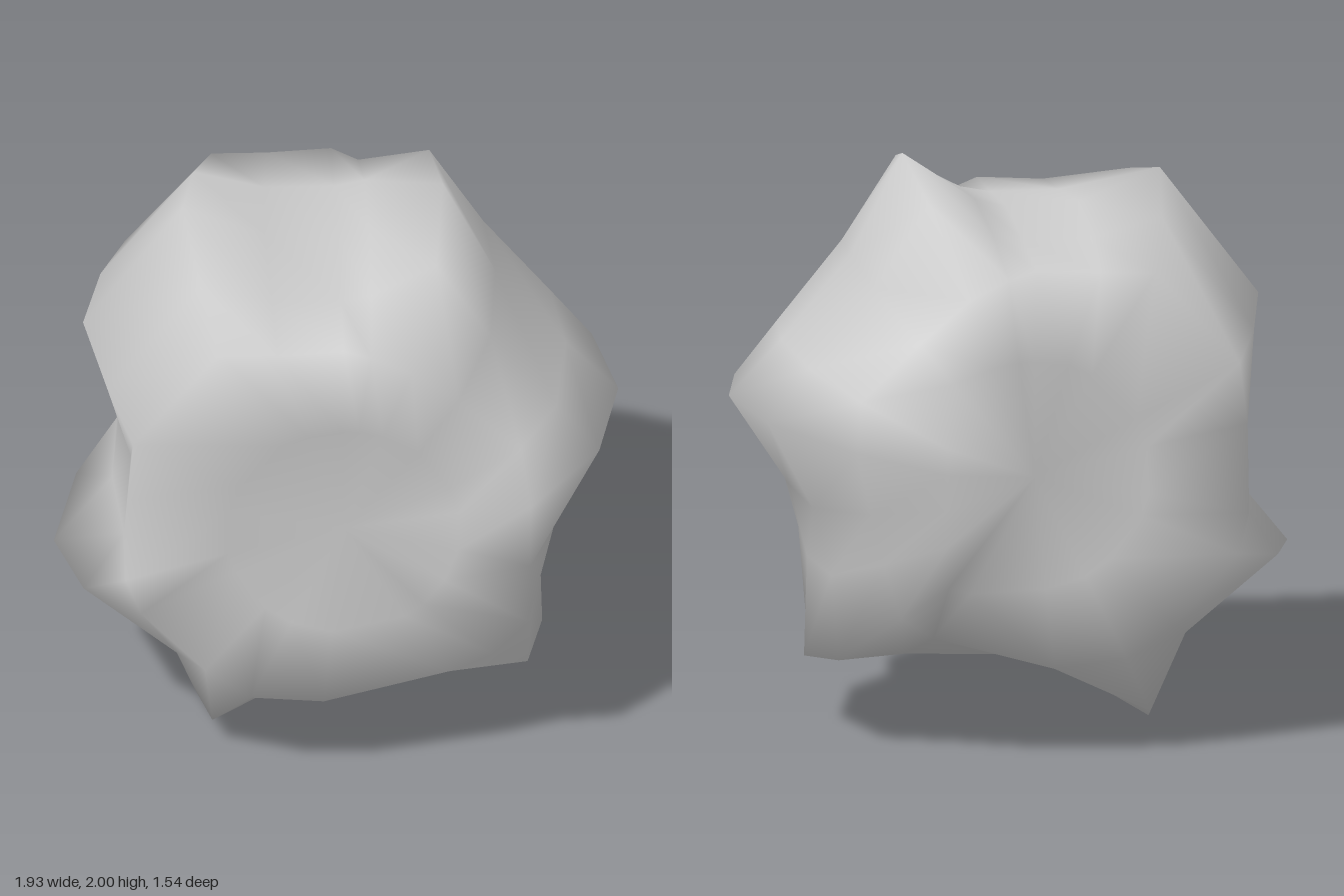
import * as THREE from 'three';

// One column per outline point, anticlockwise about the centre:
// x, y at the widest section, then distance and depth of the front and back rims
const COLUMNS = [
  [0.96, 0.17, 0.65, 0.68, 0.63, 0.69],
  [0.78, 0.36, 0.67, 0.57, 0.66, 0.64],
  [0.54, 0.65, 0.62, 0.57, 0.62, 0.65],
  [0.36, 1.0, 0.69, 0.67, 0.67, 0.68],
  [0.11, 0.83, 0.72, 0.67, 0.70, 0.67],
  [0, 0.8, 0.75, 0.68, 0.73, 0.69],
  [-0.25, 0.81, 0.77, 0.68, 0.75, 0.69],
  [-0.53, 0.92, 0.86, 0.69, 0.82, 0.70],
  [-0.87, 0.47, 0.82, 0.68, 0.80, 0.68],
  [-0.74, 0.17, 0.76, 0.68, 0.75, 0.68],
  [-0.77, -0.15, 0.76, 0.69, 0.75, 0.68],
  [-0.97, -0.4, 0.75, 0.68, 0.76, 0.67],
  [-0.6, -0.67, 0.71, 0.66, 0.72, 0.66],
  [-0.49, -1.0, 0.72, 0.65, 0.72, 0.66],
  [-0.07, -0.69, 0.67, 0.65, 0.68, 0.65],
  [0.43, -0.7, 0.70, 0.58, 0.66, 0.62],
  [0.7, -0.75, 0.76, 0.54, 0.67, 0.62],
  [0.69, -0.4, 0.73, 0.64, 0.60, 0.62],
  [0.75, -0.15, 0.65, 0.67, 0.58, 0.66],
];
const CENTRE = new THREE.Vector3(0, 1, 0.08);

const shoulder = (r) => 0.925 * (r + 0.2 * (0.95 - r));

// Straight raised ridge across one side of the back dish
function backDish(angle) {
  const raised = Math.exp(-Math.pow(angle / 1.08, 6));
  const ridge = 0.33 / Math.max(Math.cos(angle), 0.66);
  return [THREE.MathUtils.lerp(0.4, ridge, raised), -0.64 - 0.21 * raised];
}

// Sections from front to back: [distance from the z axis, z]
const sections = ([x, y, frontD, frontZ, backD, backZ]) => {
  const r = Math.hypot(x, y);
  return [
    [0.4, 0.635],
    [frontD, frontZ],
    [shoulder(r), 0.38],
    [r, 0],
    [shoulder(r), -0.38],
    [backD, -backZ],
    backDish(Math.atan2(y, x)),
  ];
};

function rockGeometry() {
  const n = COLUMNS.length;
  const rings = 7;
  const positions = [];
  const index = [];
  const add = (x, y, z) => positions.push(x + CENTRE.x, y + CENTRE.y, z + CENTRE.z);

  for (const column of COLUMNS) {
    const angle = Math.atan2(column[1], column[0]);
    for (const [d, z] of sections(column)) add(d * Math.cos(angle), d * Math.sin(angle), z);
  }
  // Middle of the front and back dishes
  const front = rings * n;
  const back = front + 1;
  add(0, 0, 0.61);
  add(0, 0, -0.66);

  for (let i = 0; i < n; i++) {
    const a = i * rings;
    const b = ((i + 1) % n) * rings;
    index.push(front, a, b, back, b + rings - 1, a + rings - 1);
    for (let j = 0; j < rings - 1; j++) {
      index.push(a + j, a + j + 1, b + j + 1, a + j, b + j + 1, b + j);
    }
  }

  const geometry = new THREE.BufferGeometry();
  geometry.setAttribute('position', new THREE.Float32BufferAttribute(positions, 3));
  geometry.setIndex(index);
  geometry.computeVertexNormals();
  return geometry;
}

export function createModel() {
  const group = new THREE.Group();
  group.name = 'lumpyRock';
  const rock = new THREE.Mesh(
    rockGeometry(),
    new THREE.MeshStandardMaterial({ color: 0xcccccc }),
  );
  rock.name = 'rock';
  group.add(rock);
  return group;
}
